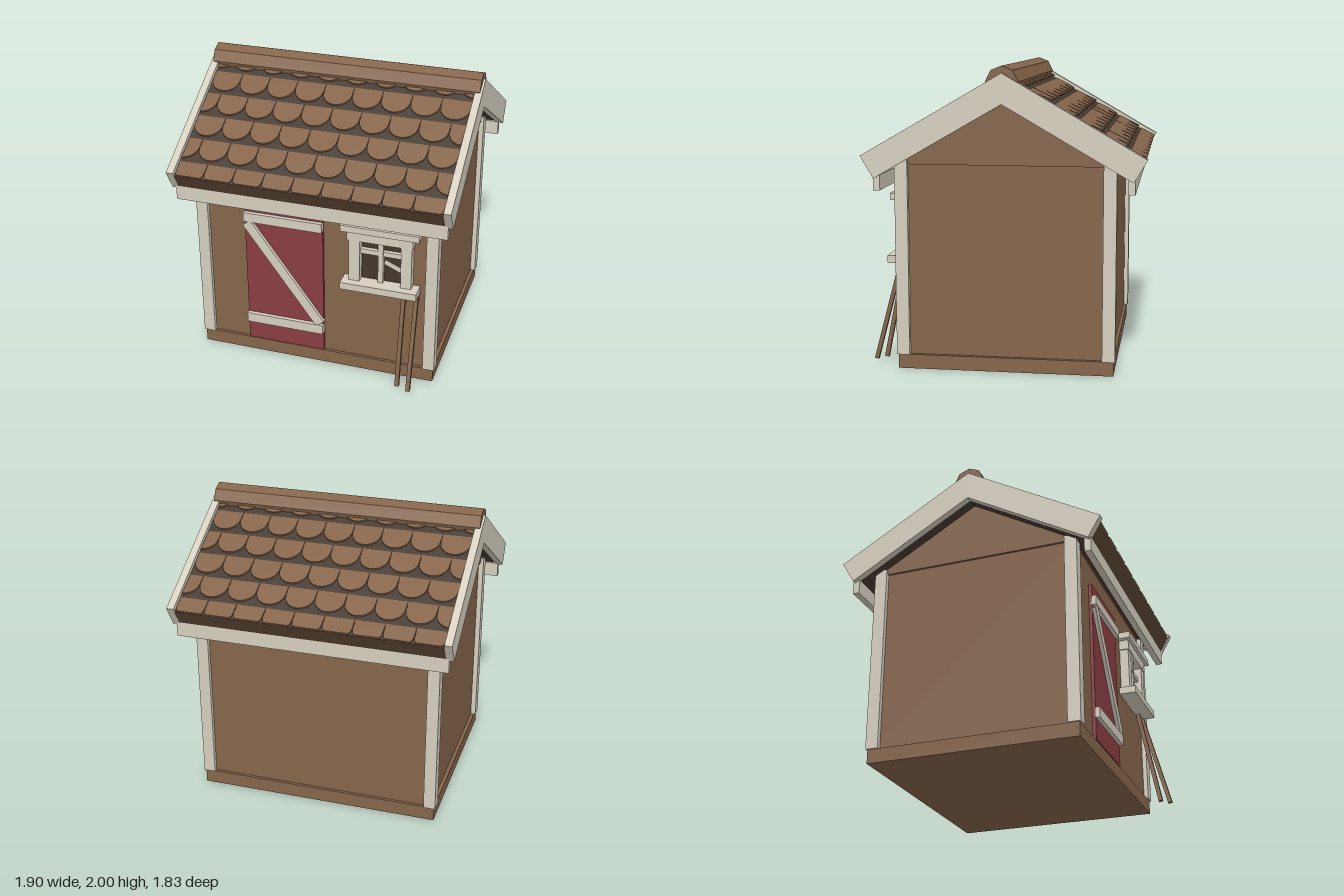
import * as THREE from 'three';

const mat = (name, color) => {
  const m = new THREE.MeshStandardMaterial({ color });
  m.name = name;
  return m;
};

export function createModel() {
  const wood = mat('brown wood', 0x85654b);
  const trim = mat('cream trim', 0xd6cfc0);
  const red = mat('red door', 0x8a3e42);
  const dark = mat('dark roofing', 0x463a31);
  const eave = mat('eave brown', 0x5c4636);
  const glass = mat('dark window', 0x44372c);

  const model = new THREE.Group();
  model.name = 'shed';

  const add = (name, geo, material, parent = model) => {
    const mesh = new THREE.Mesh(geo, material);
    mesh.name = name;
    parent.add(mesh);
    return mesh;
  };
  // Box given by its limits on each axis
  const box = (name, material, x0, x1, y0, y1, z0, z1, parent = model) => {
    const mesh = add(name, new THREE.BoxGeometry(x1 - x0, y1 - y0, z1 - z0), material, parent);
    mesh.position.set((x0 + x1) / 2, (y0 + y1) / 2, (z0 + z1) / 2);
    return mesh;
  };
  // Symmetric (z, y) profile extruded along x
  const prism = (name, material, pts, x0, x1) => {
    const shape = new THREE.Shape(pts.map(p => new THREE.Vector2(...p)));
    const geo = new THREE.ExtrudeGeometry(shape, { depth: x1 - x0, bevelEnabled: false });
    geo.rotateY(Math.PI / 2).translate(x0, 0, 0);
    return add(name, geo, material);
  };
  const chevron = (top, z1, y1, z2, y2, inner) =>
    [[0, top], [-z1, y1], [-z2, y2], [0, inner], [z2, y2], [z1, y1]];

  // Base, walls and gables
  box('base', wood, -0.83, 0.83, 0, 0.095, -0.71, 0.71);
  box('walls', wood, -0.805, 0.805, 0.095, 1.36, -0.69, 0.69);
  prism('gables', wood, [[0, 1.79], [-0.7, 1.385], [-0.7, 1.36], [0.7, 1.36], [0.7, 1.385]], -0.82, 0.82);

  // Corner posts, eave boards and bargeboards
  for (const s of [-1, 1]) {
    for (const t of [-1, 1]) {
      const post = box('cornerPost', trim, -0.04, 0.04, 0.095, 1.39, -0.0425, 0.0425);
      post.position.x = 0.8 * s;
      post.position.z = 0.6775 * t;
    }
    const board = box('eaveBoard', trim, -0.92, 0.92, 1.2, 1.3, -0.0225, 0.0225);
    board.position.z = 0.8175 * s;
    prism('bargeboard', trim, chevron(1.955, 0.915, 1.425, 0.83, 1.28, 1.76),
      s > 0 ? 0.9 : -0.95, s > 0 ? 0.95 : -0.9);
  }

  // Roof slab
  prism('roofSlab', dark, chevron(1.92, 0.892, 1.404, 0.828, 1.292, 1.77), -0.905, 0.905);

  // Rounded shingles, trimmed at the eave and the roof ends
  const clamp = THREE.MathUtils.clamp;
  const shingle = (cx, tip) => {
    const r = 0.098, length = 0.165, limit = Math.max(0, 1.036 - tip + length);
    const pts = [[r, 0], [-r, 0]];
    for (let i = 0; i <= 14; i++) {
      const a = Math.PI * (1 + i / 14);
      pts.push([r * Math.cos(a), -(length - r) + r * Math.sin(a)]);
    }
    const shape = new THREE.Shape(pts.map(([x, y]) =>
      new THREE.Vector2(clamp(x, -0.895 - cx, 0.895 - cx), Math.max(y, -limit))));
    return new THREE.ExtrudeGeometry(shape, { depth: 0.012, bevelEnabled: false });
  };
  for (const turn of [0, Math.PI]) {
    const side = new THREE.Group();
    side.name = turn ? 'backRoofSide' : 'frontRoofSide';
    side.rotation.y = turn;
    model.add(side);
    const slope = new THREE.Group();
    slope.name = 'shingles';
    slope.position.y = 1.92;
    slope.rotation.x = -Math.PI / 3;
    side.add(slope);
    for (let row = 0; row < 6; row++) {
      const tip = 1.085 - row * 0.19;
      const odd = row % 2;
      for (let i = odd ? -5 : -4; i <= 4; i++) {
        const cx = i * 0.2 + (odd ? 0.1 : 0);
        const tile = add('shingle', shingle(cx, tip), wood, slope);
        tile.position.set(cx, -(tip - 0.165), -0.008);
        tile.rotation.x = -0.07;
      }
    }
    // Sloping end face below the last row
    box('eaveEdge', eave, -0.915, 0.915, -1.038, -1.028, -0.128, 0.0, slope);
  }

  // Ridge cap
  prism('ridgeCap', wood, [[0, 2], [-0.07, 1.972], [-0.105, 1.9], [-0.09, 1.86],
    [0.09, 1.86], [0.105, 1.9], [0.07, 1.972]], -0.935, 0.935);

  // Door with braces
  const door = new THREE.Group();
  door.name = 'door';
  model.add(door);
  box('doorPanel', red, -0.495, 0.055, 0.1, 1.2, 0.68, 0.712, door);
  box('topBatten', trim, -0.495, 0.055, 1.045, 1.112, 0.7, 0.74, door);
  box('bottomBatten', trim, -0.495, 0.055, 0.245, 0.315, 0.7, 0.74, door);
  const dx = 0.51, dy = -0.71;
  const brace = add('diagonalBrace', new THREE.BoxGeometry(Math.hypot(dx, dy), 0.068, 0.036), trim, door);
  brace.position.set(-0.22, 0.68, 0.719);
  brace.rotation.z = Math.atan2(dy, dx);

  // Window
  const win = new THREE.Group();
  win.name = 'window';
  model.add(win);
  box('pane', glass, 0.3, 0.62, 0.72, 1.06, 0.688, 0.696, win);
  const glint = box('paneStreak', trim, 0.475, 0.605, 0.84, 0.872, 0.694, 0.699, win);
  glint.rotation.z = -0.42;
  box('windowCap', trim, 0.195, 0.725, 1.11, 1.155, 0.68, 0.78, win);
  box('windowHead', trim, 0.235, 0.68, 1.04, 1.11, 0.68, 0.758, win);
  box('windowSill', trim, 0.2, 0.72, 0.685, 0.735, 0.68, 0.805, win);
  box('windowJamb', trim, 0.245, 0.32, 0.735, 1.04, 0.68, 0.752, win);
  box('windowJamb', trim, 0.6, 0.672, 0.735, 1.04, 0.68, 0.752, win);
  box('mullion', trim, 0.44, 0.475, 0.735, 1.04, 0.68, 0.73, win);
  box('crossbar', trim, 0.32, 0.6, 0.935, 0.97, 0.68, 0.725, win);

  // Poles leaning on the wall
  for (const [x, y0, z0, y1, z1] of [[0.617, 0.015, 0.845, 0.69, 0.71], [0.705, 0.025, 0.892, 0.69, 0.715]]) {
    const pole = add('leaningPole', new THREE.BoxGeometry(0.028, Math.hypot(y1 - y0, z1 - z0), 0.028), wood);
    pole.position.set(x, (y0 + y1) / 2, (z0 + z1) / 2);
    pole.rotation.x = Math.atan2(z1 - z0, y1 - y0);
  }

  return model;
}
